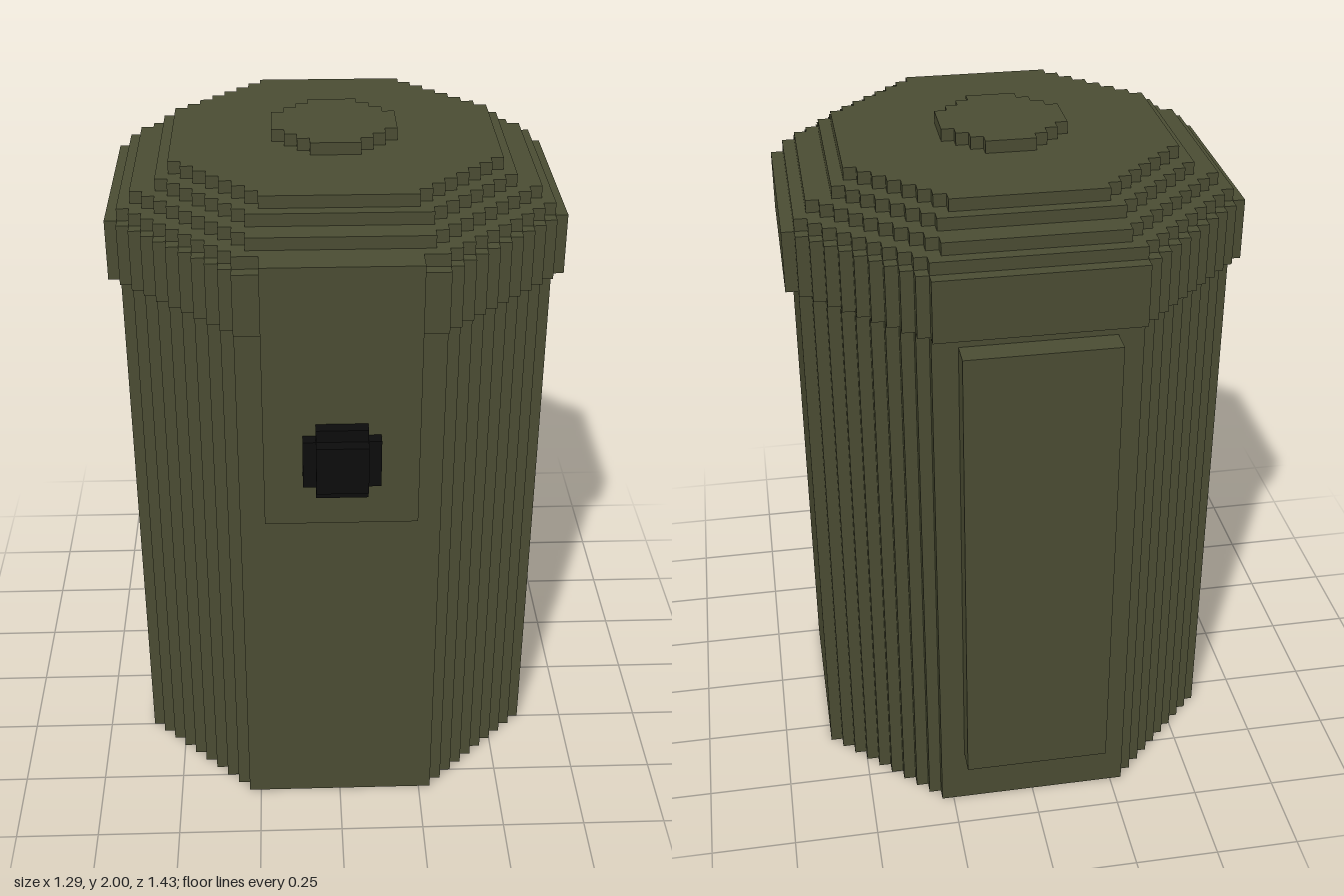
import * as THREE from 'three';

const U = 2 / 56; // size of one block step
const CZ = -1; // the body axis sits one step behind the origin

const olive = new THREE.MeshStandardMaterial({ color: 0x4b4d33 });
olive.name = 'olive';
const black = new THREE.MeshStandardMaterial({ color: 0x0c0c0c });
black.name = 'black';

// Octagon outline whose diagonal sides are unit stairs
function steppedOctagon(half, flat) {
  const quarter = [];
  for (let x = half, y = flat; x >= flat; x--, y++) {
    quarter.push([x, y]);
    if (x > flat) quarter.push([x - 1, y]);
  }
  const points = [];
  for (let q = 0; q < 4; q++) {
    for (const [x, y] of quarter) {
      const p = [[x, y], [-y, x], [-x, -y], [y, -x]][q];
      points.push(new THREE.Vector2(p[0] * U, p[1] * U));
    }
  }
  return new THREE.Shape(points);
}

function tier(name, half, flat, y0, y1) {
  const geometry = new THREE.ExtrudeGeometry(steppedOctagon(half, flat), { depth: (y1 - y0) * U, bevelEnabled: false });
  geometry.rotateX(-Math.PI / 2);
  geometry.translate(0, y0 * U, CZ * U);
  const mesh = new THREE.Mesh(geometry, olive);
  mesh.name = name;
  return mesh;
}

// Box centred on x = 0, given in block steps
function block(name, halfX, y0, y1, z0, z1, material) {
  const geometry = new THREE.BoxGeometry(2 * halfX * U, (y1 - y0) * U, (z1 - z0) * U);
  geometry.translate(0, (y0 + y1) / 2 * U, (z0 + z1) / 2 * U);
  const mesh = new THREE.Mesh(geometry, material);
  mesh.name = name;
  return mesh;
}

export function createModel() {
  const model = new THREE.Group();
  model.name = 'canister';

  model.add(tier('body', 17, 8, 0, 46));

  // Lid: rim, shrinking tiers and centre cap
  const lid = new THREE.Group();
  lid.name = 'lid';
  lid.add(
    tier('lidRim', 18, 8, 46, 51),
    tier('lidTier1', 17, 8, 51, 52),
    tier('lidTier2', 16, 7, 52, 53),
    tier('lidTier3', 14, 7, 53, 54),
    tier('lidTier4', 13, 6, 54, 55),
    tier('lidCap', 5, 2, 55, 56)
  );
  model.add(lid);

  // Front clasp plate and raised back panel
  model.add(block('frontPlate', 6, 30, 52, 15.5, 18, olive));
  model.add(block('backPanel', 6, 5, 45, -20, -17.5, olive));

  // Rounded button on the plate
  const button = new THREE.Group();
  button.name = 'button';
  button.add(
    block('buttonWide', 3, 34, 38, 17.9, 19, black),
    block('buttonTall', 2, 33, 39, 17.9, 19, black),
    block('buttonFace', 2, 34, 38, 18.5, 20, black)
  );
  model.add(button);

  return model;
}
